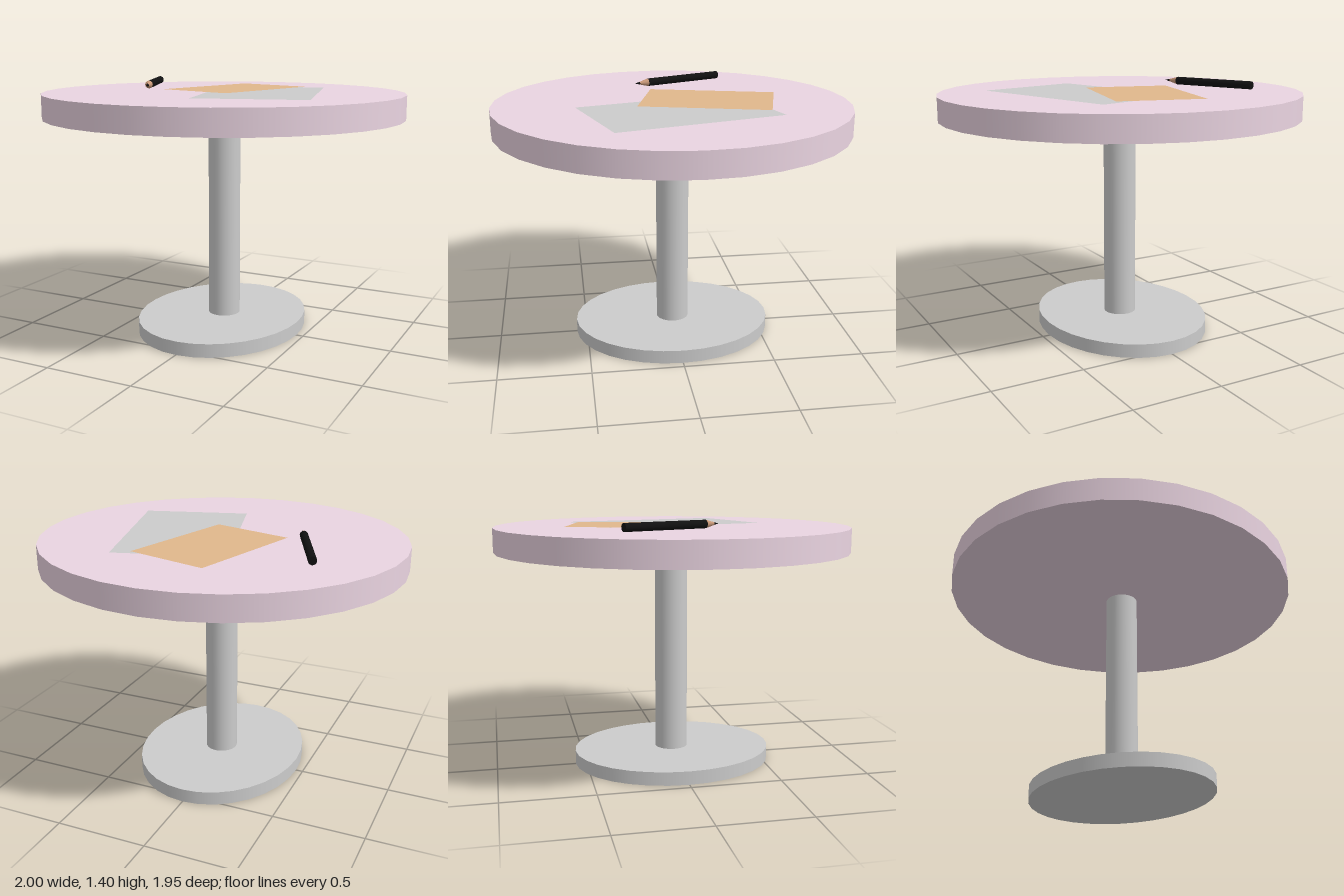
import * as THREE from 'three';

const paint = (color) => new THREE.MeshStandardMaterial({ color, side: THREE.DoubleSide });

export function createModel() {
  const model = new THREE.Group();
  model.name = 'pedestalTable';
  const grey = new THREE.MeshStandardMaterial({ color: 0xcccccc });

  const add = (name, geometry, material, parent = model) => {
    const mesh = new THREE.Mesh(geometry, material);
    mesh.name = name;
    parent.add(mesh);
    return mesh;
  };

  // Upright elliptical disc between two heights
  const disc = (name, rx, rz, y0, y1, material) => {
    const geometry = new THREE.CylinderGeometry(1, 1, y1 - y0, 32);
    geometry.scale(rx, 1, rz).translate(0, (y0 + y1) / 2, 0);
    return add(name, geometry, material);
  };

  // Table
  disc('base', 0.46, 0.56, 0, 0.075, grey);
  disc('column', 0.089, 0.091, 0.07, 1.22, grey).position.set(0.008, 0, -0.002);
  disc('tabletop', 1, 0.975, 1.212, 1.345, paint(0xead4e1));

  // Sheets of paper lying on the top
  const sheet = (name, w, d, x, y, z, turn, material) => {
    const mesh = add(name, new THREE.PlaneGeometry(w, d).rotateX(-Math.PI / 2), material);
    mesh.position.set(x, y, z);
    mesh.rotation.y = turn;
  };
  sheet('lowerSheet', 0.6, 0.93, 0.235, 1.349, -0.005, 0.277, paint(0xcccccc));
  sheet('upperSheet', 0.47, 0.71, -0.02, 1.354, -0.205, -0.266, paint(0xe0b78c));

  // Pencil, built along its axis from blunt end to point
  const pencil = new THREE.Group();
  pencil.name = 'pencil';
  const black = paint(0x111111);
  const section = (name, r0, r1, from, to, material) =>
    add(name, new THREE.CylinderGeometry(r1, r0, to - from, 12)
      .translate(0, (from + to) / 2, 0), material, pencil);
  section('pencilBody', 0.022, 0.022, 0, 0.487, black);
  section('pencilWood', 0.022, 0.008, 0.487, 0.54, paint(0xc89878));
  section('pencilLead', 0.008, 0, 0.54, 0.571, black);
  const start = new THREE.Vector3(-0.62, 1.378, -0.365);
  const tip = new THREE.Vector3(-0.395, 1.378, 0.16);
  pencil.position.copy(start);
  pencil.quaternion.setFromUnitVectors(new THREE.Vector3(0, 1, 0), tip.sub(start).normalize());
  model.add(pencil);

  return model;
}
